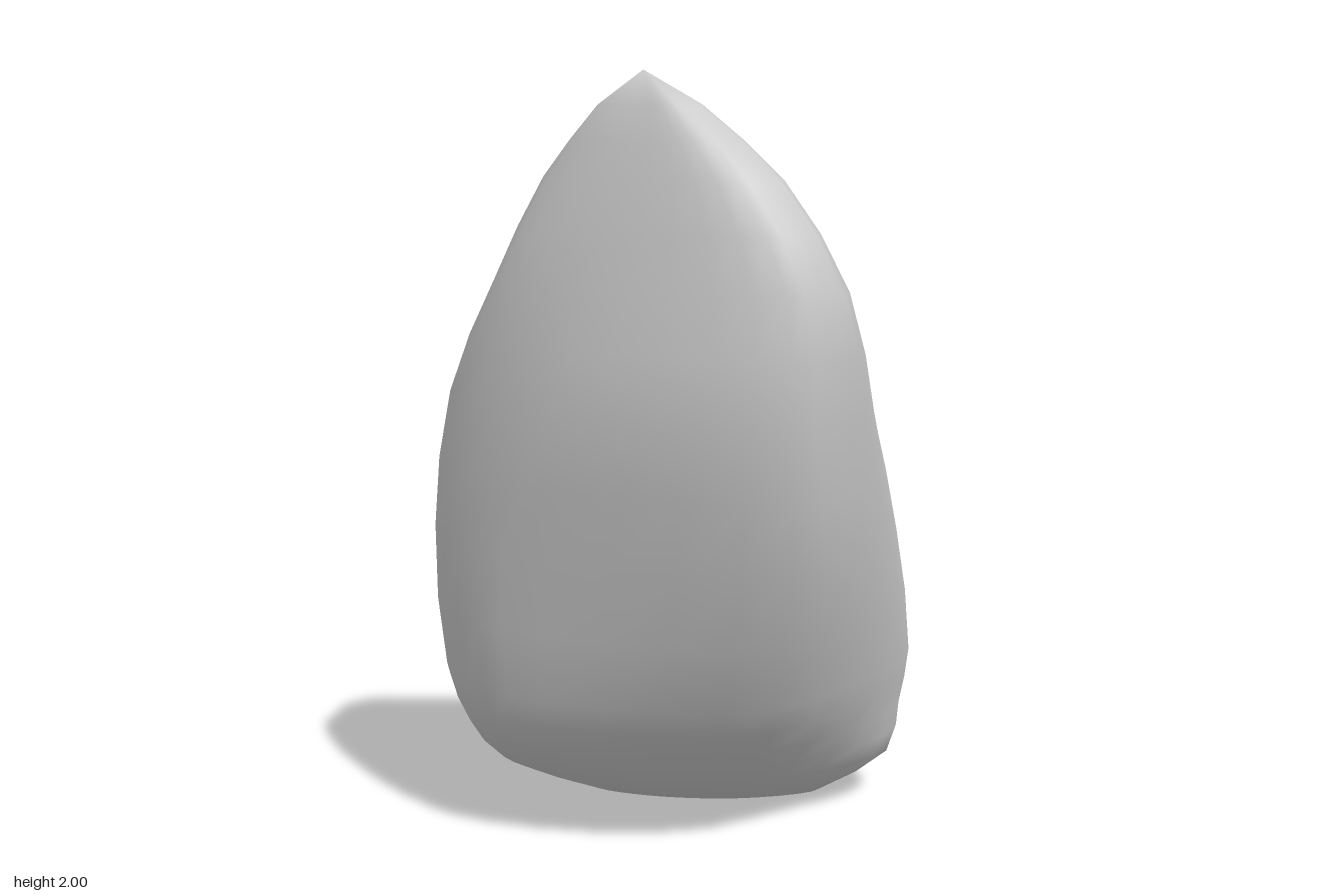
import * as THREE from 'three';

// Horizontal sections, each: height, then [x, z] of the seven long ridges
// (left, left front, front, right, right back, back, left back).
const SECTIONS = [
  [0.01, [-0.24, -0.37], [-0.1, -0.31], [0.18, -0.3], [0.39, -0.38], [0.36, -0.44], [0.1, -0.44], [-0.2, -0.42]],
  [0.14, [-0.5, -0.28], [-0.3, -0.1], [0.2, -0.085], [0.58, -0.35], [0.53, -0.52], [0.05, -0.465], [-0.43, -0.38]],
  [0.28, [-0.575, -0.19], [-0.4, 0.04], [0.25, 0.07], [0.61, -0.35], [0.56, -0.52], [0.02, -0.455], [-0.5, -0.37]],
  [0.44, [-0.625, -0.16], [-0.42, 0.135], [0.26, 0.215], [0.635, -0.35], [0.57, -0.5], [0, -0.435], [-0.54, -0.35]],
  [0.83, [-0.64, -0.12], [-0.42, 0.2], [0.3, 0.42], [0.57, -0.05], [0.5, -0.39], [0, -0.36], [-0.56, -0.295]],
  [1.2, [-0.58, -0.05], [-0.27, 0.34], [0.29, 0.525], [0.49, 0.26], [0.31, -0.26], [-0.1, -0.255], [-0.5, -0.215]],
  [1.5, [-0.44, 0.09], [-0.18, 0.36], [0.28, 0.53], [0.42, 0.42], [0.11, -0.125], [-0.1, -0.13], [-0.34, -0.085]],
  [1.75, [-0.31, 0.14], [-0.09, 0.36], [0.16, 0.465], [0.27, 0.39], [0.05, 0.06], [-0.06, 0.03], [-0.23, 0.04]],
  [1.92, [-0.17, 0.22], [-0.07, 0.31], [0.02, 0.36], [0.08, 0.3], [0, 0.18], [-0.06, 0.15], [-0.14, 0.15]],
];
const BOTTOM = new THREE.Vector3(0.08, 0, -0.38);
const TOP = new THREE.Vector3(-0.06, 2, 0.25);
const AROUND = 35;
const STEPS = 2; // rings per section

// Closed skin through the sections, with a single vertex at each end
function createRockGeometry() {
  // One smooth closed loop per section
  const loops = SECTIONS.map(([y, ...ridge]) => {
    const points = ridge.map(([x, z]) => new THREE.Vector3(x, y, z));
    const curve = new THREE.CatmullRomCurve3(points, true, 'centripetal');
    return Array.from({ length: AROUND }, (_, j) => curve.getPoint(j / AROUND));
  });

  // Smooth columns joining the loops
  const rings = (SECTIONS.length - 1) * STEPS + 1;
  const columns = Array.from({ length: AROUND }, (_, j) =>
    new THREE.CatmullRomCurve3(loops.map((loop) => loop[j]), false, 'centripetal').getPoints(rings - 1));

  const positions = [];
  for (let i = 0; i < rings; i++) {
    for (const column of columns) positions.push(...column[i].toArray());
  }
  const bottom = rings * AROUND;
  const top = bottom + 1;
  positions.push(...BOTTOM.toArray(), ...TOP.toArray());

  const index = [];
  for (let j = 0; j < AROUND; j++) {
    const k = (j + 1) % AROUND;
    index.push(bottom, k, j);
    for (let i = 0; i < rings - 1; i++) {
      const a = i * AROUND;
      const b = a + AROUND;
      index.push(a + j, a + k, b + k, a + j, b + k, b + j);
    }
    const last = (rings - 1) * AROUND;
    index.push(last + j, last + k, top);
  }

  const geometry = new THREE.BufferGeometry();
  geometry.setAttribute('position', new THREE.Float32BufferAttribute(positions, 3));
  geometry.setIndex(index);
  geometry.computeVertexNormals();
  return geometry;
}

export function createModel() {
  const group = new THREE.Group();
  group.name = 'leaningRock';
  const rock = new THREE.Mesh(
    createRockGeometry(),
    new THREE.MeshStandardMaterial({ color: 0xcccccc }),
  );
  rock.name = 'rock';
  group.add(rock);
  return group;
}
